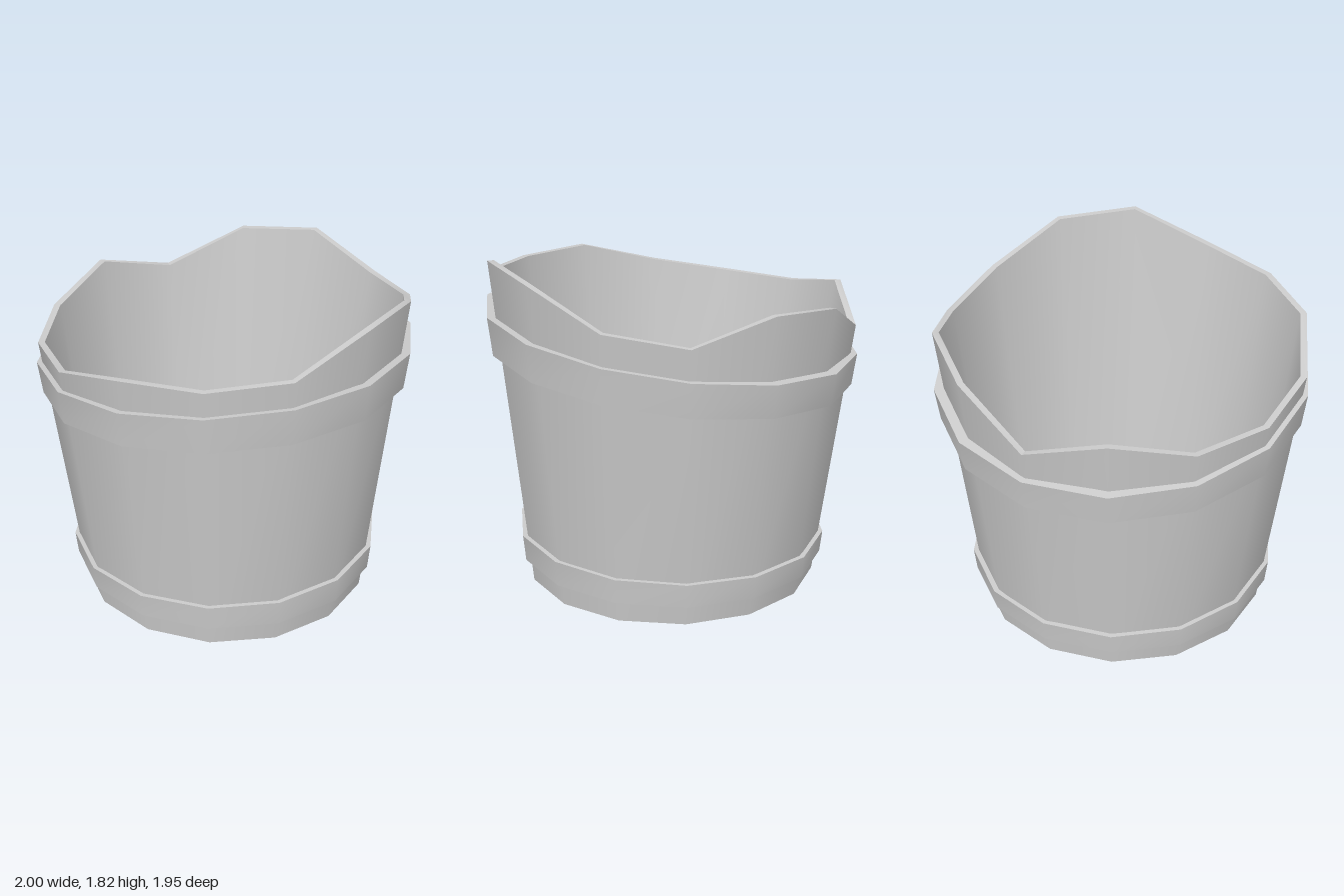
import * as THREE from 'three';
import { toCreasedNormals } from 'three/addons/utils/BufferGeometryUtils.js';

const SIDES = 14;
const material = new THREE.MeshStandardMaterial({ color: 0xcccccc });

// Height of the uneven rim at each corner, from +x round through +z
const RIM = [1.555, 1.615, 1.79, 1.82, 1.66, 1.63, 1.62, 1.5, 1.45, 1.455, 1.55, 1.42, 1.63, 1.68];

// Joins rings of [radius, height(cornerIndex, z)] into a surface; rings run upwards on the outside
function loft(name, rings) {
  const positions = [];
  const corner = ([radius, height], k) => {
    const angle = (k / SIDES) * Math.PI * 2;
    const z = radius * Math.sin(angle);
    return [radius * Math.cos(angle), height(k % SIDES, z), z];
  };
  for (let i = 0; i < rings.length - 1; i++) {
    const low = rings[i], high = rings[i + 1];
    for (let k = 0; k < SIDES; k++) {
      const a = corner(low, k), b = corner(high, k);
      const c = corner(low, k + 1), d = corner(high, k + 1);
      if (low[0] > 0) positions.push(...a, ...b, ...c);
      if (high[0] > 0) positions.push(...c, ...b, ...d);
    }
  }
  const geometry = new THREE.BufferGeometry();
  geometry.setAttribute('position', new THREE.Float32BufferAttribute(positions, 3));
  const mesh = new THREE.Mesh(toCreasedNormals(geometry, THREE.MathUtils.degToRad(40)), material);
  mesh.name = name;
  return mesh;
}

const flat = (y) => () => y;
const tilted = (y, slope) => (k, z) => y + slope * z;
const rim = (k) => RIM[k];

// Closed hoop, higher at the front than at the back
function hoop(name, bottom, top) {
  const low = tilted(bottom.y, bottom.slope), high = tilted(top.y, top.slope);
  return loft(name, [
    [bottom.inner, low], [bottom.outer, low],
    [top.outer, high], [top.inner, high],
    [bottom.inner, low],
  ]);
}

export function createModel() {
  const group = new THREE.Group();
  group.name = 'bucket';

  // Tapered hollow tub with a broken-looking rim
  group.add(loft('tub', [
    [0, flat(0)], [0.79, flat(0)],
    [0.985, rim], [0.95, rim],
    [0.757, flat(0.02)], [0, flat(0.02)],
  ]));

  // Two slanted hoops round the tub
  group.add(hoop('upperHoop',
    { y: 1.2, slope: 0.116, inner: 0.92, outer: 0.973 },
    { y: 1.39, slope: 0.132, inner: 0.94, outer: 0.998 }));
  group.add(hoop('lowerHoop',
    { y: 0.116, slope: 0.011, inner: 0.785, outer: 0.832 },
    { y: 0.248, slope: 0.026, inner: 0.8, outer: 0.846 }));

  return group;
}
